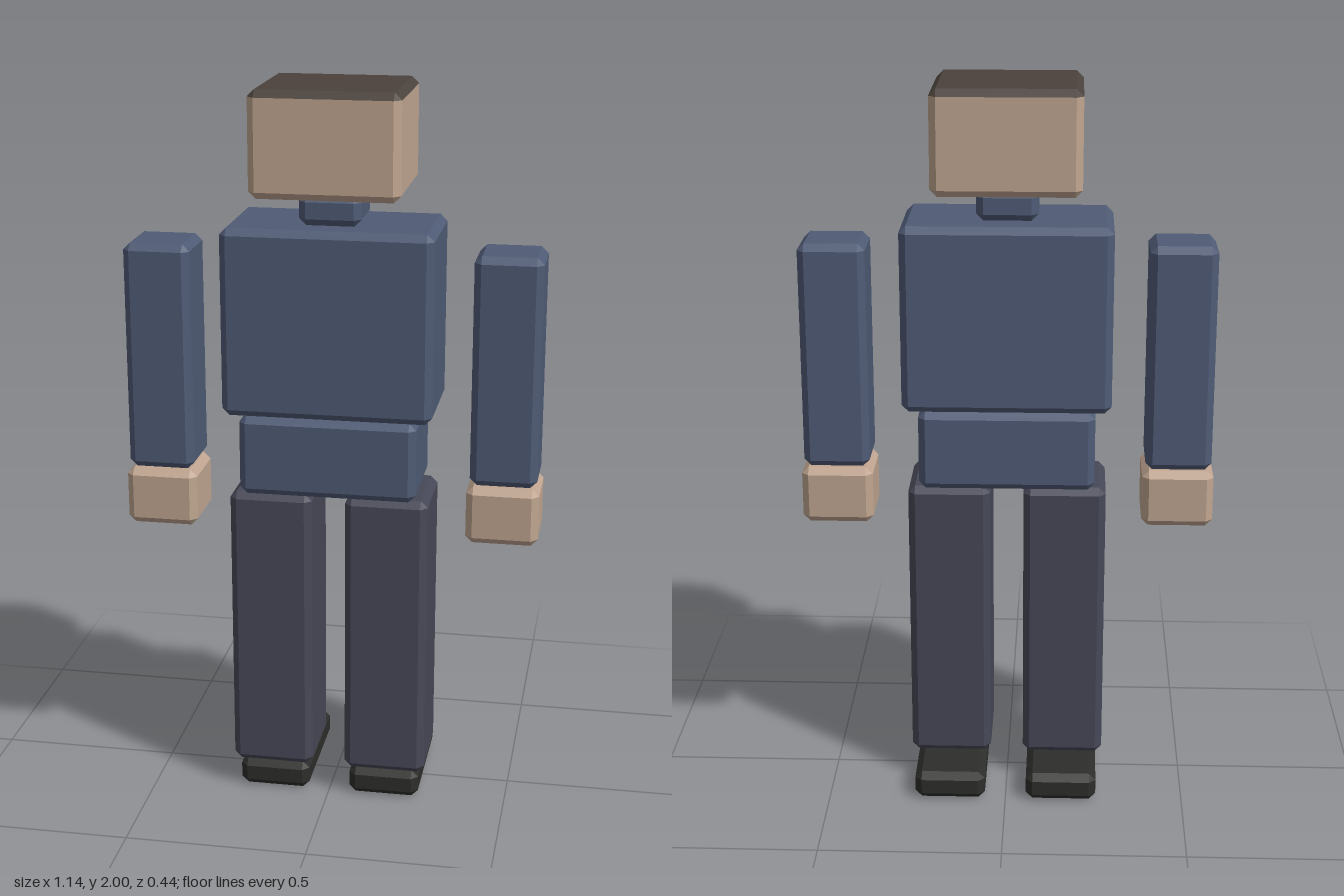
import * as THREE from 'three';
import { ConvexGeometry } from 'three/addons/geometries/ConvexGeometry.js';

const BEVEL = 0.019;
const mat = (color) => new THREE.MeshStandardMaterial({ color, flatShading: true });

// The 24 corners of a box with chamfered edges
function bevelPoints([x0, x1], [y0, y1], [z0, z1], c = BEVEL) {
  const points = [];
  for (const [x, sx] of [[x0, 1], [x1, -1]])
    for (const [y, sy] of [[y0, 1], [y1, -1]])
      for (const [z, sz] of [[z0, 1], [z1, -1]]) {
        const xi = x + sx * c, yi = y + sy * c, zi = z + sz * c;
        points.push(
          new THREE.Vector3(x, yi, zi),
          new THREE.Vector3(xi, y, zi),
          new THREE.Vector3(xi, yi, z)
        );
      }
  return points;
}

export function createModel() {
  const model = new THREE.Group();
  const shirt = mat(0x4f5b75);
  const trousers = mat(0x474857);
  const shoes = mat(0x2d2d2b);
  const skin = mat(0xc0a590);
  const hairColor = mat(0x4b423c);

  function add(name, points, material) {
    const mesh = new THREE.Mesh(new ConvexGeometry(points), material);
    mesh.name = name;
    model.add(mesh);
  }

  // Trunk
  add('torso', bevelPoints([-0.284, 0.284], [1.125, 1.637], [-0.121, 0.191]), shirt);
  add('waist', bevelPoints([-0.241, 0.241], [0.9, 1.122], [-0.108, 0.178]), shirt);
  add('neck', bevelPoints([-0.083, 0.083], [1.637, 1.72], [-0.048, 0.125]), shirt);

  // Head, with the top face and its bevel as hair
  const head = bevelPoints([-0.199, 0.199], [1.72, 2], [-0.143, 0.215]);
  const hairline = 2 - BEVEL;
  add('head', head.filter((p) => p.y < hairline + 0.001), skin);
  add('hair', head.filter((p) => p.y > hairline - 0.001), hairColor);

  // Limbs, mirrored left and right
  for (const side of [1, -1]) {
    const label = side > 0 ? 'left' : 'right';
    const span = (a, b) => (side > 0 ? [a, b] : [-b, -a]);
    add(label + 'Arm', bevelPoints(span(0.381, 0.563), [0.943, 1.573], [-0.056, 0.128]), shirt);
    add(label + 'Hand', bevelPoints(span(0.373, 0.57), [0.78, 0.941], [-0.063, 0.135]), skin);
    add(label + 'Leg', bevelPoints(span(0.046, 0.273), [0.083, 0.899], [-0.09, 0.161]), trousers);
    add(label + 'Shoe', bevelPoints(span(0.058, 0.256), [0, 0.08], [-0.22, 0.151]), shoes);
  }
  return model;
}
